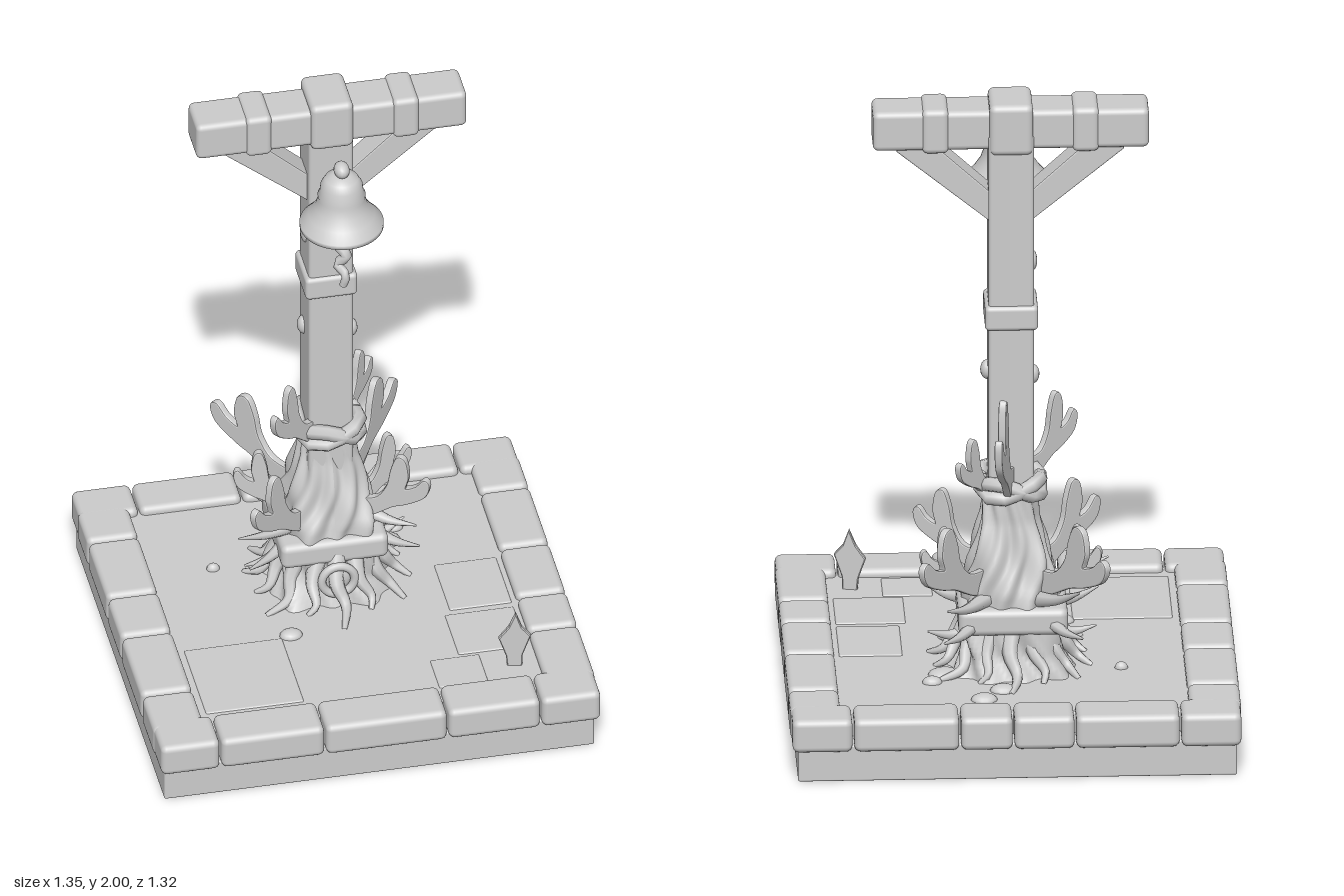
import * as THREE from 'three';
import { RoundedBoxGeometry } from 'three/addons/geometries/RoundedBoxGeometry.js';

const PZ = -0.13; // depth of the post centre

export function createModel() {
  const root = new THREE.Group();
  root.name = 'bellPost';
  const grey = new THREE.MeshStandardMaterial({ color: 0xcccccc });
  grey.name = 'plainGrey';

  const add = (name, geo, parent = root) => {
    const m = new THREE.Mesh(geo, grey);
    m.name = name;
    parent.add(m);
    return m;
  };
  const group = (name) => {
    const g = new THREE.Group();
    g.name = name;
    root.add(g);
    return g;
  };
  // Rounded box given by its limits on each axis
  const block = (name, [x0, x1], [y0, y1], [z0, z1], r, parent) => {
    const m = add(name, new RoundedBoxGeometry(x1 - x0, y1 - y0, z1 - z0, 3, r), parent);
    m.position.set((x0 + x1) / 2, (y0 + y1) / 2, (z0 + z1) / 2);
    return m;
  };
  // Round tube through points, tapering from r0 to r1
  const taperTube = (name, pts, r0, r1, parent) => {
    const n = 14, k = 7;
    const curve = new THREE.CatmullRomCurve3(pts.map((p) => new THREE.Vector3(...p)));
    const geo = new THREE.TubeGeometry(curve, n, 1, k, false);
    const p = geo.attributes.position, nor = geo.attributes.normal;
    for (let i = 0; i < p.count; i++) {
      const t = Math.floor(i / (k + 1)) / n;
      const s = r0 + (r1 - r0) * t - 1;
      p.setXYZ(i, p.getX(i) + s * nor.getX(i), p.getY(i) + s * nor.getY(i), p.getZ(i) + s * nor.getZ(i));
    }
    return add(name, geo, parent);
  };
  const lump = (name, x, y, z, sx, sy, sz, parent) => {
    const m = add(name, new THREE.SphereGeometry(1, 14, 10), parent);
    m.position.set(x, y, z);
    m.scale.set(sx, sy, sz);
    return m;
  };

  // Base: slab, paved floor and kerb stones
  const base = group('base');
  block('slab', [-0.66, 0.655], [0, 0.115], [-0.635, 0.635], 0.006, base);
  block('floor', [-0.56, 0.56], [0.08, 0.18], [-0.56, 0.56], 0.005, base);
  const run = (cuts, make) => cuts.slice(1).forEach((c, i) => make(cuts[i] + 0.003, c - 0.003, i));
  const Y = [0.1, 0.205];
  run([-0.675, -0.49, -0.175, 0.01, 0.17, 0.49, 0.675], (a, b) => block('kerbBack', [a, b], Y, [-0.66, -0.52], 0.02, base));
  run([-0.675, -0.49, -0.17, 0.205, 0.49, 0.675], (a, b) => block('kerbFront', [a, b], Y, [0.51, 0.655], 0.02, base));
  run([-0.56, -0.4, -0.12, 0.08, 0.375, 0.56], (a, b) => block('kerbSide', [-0.675, -0.52], Y, [a, b], 0.02, base));
  run([-0.56, -0.4, -0.115, 0.13, 0.3, 0.56], (a, b) => block('kerbSide', [0.525, 0.675], Y, [a, b], 0.02, base));
  [[0.3, 0.51, 0.15, 0.35], [0.21, 0.36, 0.36, 0.5], [-0.5, -0.2, 0.16, 0.48], [0.32, 0.51, -0.1, 0.13]].forEach(([a, b, c, d]) =>
    block('pavingStone', [a, b], [0.165, 0.184], [c, d], 0.006, base));
  [[0.09, -0.45, 0.04], [0.2, -0.25, 0.05], [0.24, -0.31, 0.03], [-0.17, 0.15, 0.035], [-0.33, -0.22, 0.02], [0.03, -0.38, 0.04]].forEach(([x, z, r]) =>
    lump('pebble', x, 0.18, z, r, 0.02, r * 0.8, base));

  // Post, beam and their collars
  const frame = group('frame');
  block('post', [-0.07, 0.066], [0.2, 1.9], [-0.2, -0.058], 0.012, frame);
  block('postCollar', [-0.082, 0.077], [1.272, 1.35], [-0.212, -0.047], 0.014, frame);
  block('beam', [-0.415, 0.412], [1.85, 1.975], [-0.187, -0.05], 0.018, frame);
  block('beamCap', [-0.067, 0.063], [1.838, 2], [-0.21, -0.036], 0.02, frame);
  for (const s of [-1, 1]) {
    block('beamBand', [s * 0.225 - 0.04, s * 0.225 + 0.04], [1.842, 1.983], [-0.195, -0.042], 0.018, frame);
    // Diagonal brace with ends cut to meet post and beam
    const shape = new THREE.Shape([[0.04, 1.6], [0.335, 1.845], [0.325, 1.875], [0.235, 1.865], [0.04, 1.685]].map(([x, y]) => new THREE.Vector2(s * x, y)));
    const geo = new THREE.ExtrudeGeometry(shape, { depth: 0.074, bevelSize: 0.005, bevelThickness: 0.005, bevelSegments: 2 });
    add('brace', geo, frame).position.z = -0.167;
    lump('postKnot', s * 0.068, 1.11, PZ + 0.02 * s, 0.02, 0.03, 0.025, frame);
  }
  lump('postKnot', -0.07, 1.47, PZ, 0.012, 0.03, 0.03, frame);

  // Bell with crown knob and clapper rope
  const bell = group('bell');
  bell.position.set(0, 0, 0.078);
  const profile = [[0, 1.66], [0.085, 1.66], [0.115, 1.638], [0.126, 1.642], [0.126, 1.656], [0.1, 1.685], [0.08, 1.715], [0.07, 1.745],
    [0.072, 1.757], [0.066, 1.77], [0.063, 1.795], [0.05, 1.818], [0.028, 1.83], [0, 1.834]];
  add('bellBody', new THREE.LatheGeometry(profile.map(([x, y]) => new THREE.Vector2(x, y)), 40), bell);
  lump('bellKnob', 0, 1.848, 0, 0.024, 0.025, 0.032, bell);
  lump('clapper', 0, 1.625, 0, 0.045, 0.035, 0.04, bell);
  lump('ropeKnot', 0.005, 1.575, -0.005, 0.034, 0.025, 0.03, bell);
  taperTube('rope', [[0.01, 1.6, 0], [-0.01, 1.56, -0.02], [0.015, 1.525, 0.0], [-0.01, 1.49, -0.01], [0.008, 1.47, 0.025], [0, 1.43, 0.02]], 0.022, 0.012, bell);

  // Gnarled trunk: a squarish column with furrows, wider towards the floor
  const trunk = group('trunk');
  const H0 = 0.17, H1 = 0.74;
  const trunkGeo = new THREE.CylinderGeometry(1, 1, H1 - H0, 96, 40, false);
  const widths = [[0.17, 0.185], [0.24, 0.15], [0.34, 0.14], [0.44, 0.135], [0.55, 0.108], [0.65, 0.082], [0.74, 0.075]];
  const widthAt = (y) => {
    const i = Math.max(1, widths.findIndex(([h]) => h >= y - 1e-4));
    const [a, wa] = widths[i - 1], [b, wb] = widths[i];
    return wa + (wb - wa) * (y - a) / (b - a);
  };
  const p = trunkGeo.attributes.position;
  for (let i = 0; i < p.count; i++) {
    const y = p.getY(i) + (H0 + H1) / 2, x = p.getX(i), z = p.getZ(i);
    const len = Math.hypot(x, z), t = Math.atan2(z, x);
    if (len < 0.01) { p.setXYZ(i, 0, y, 0); continue; }
    const square = Math.pow(Math.pow(Math.abs(x / len), 4) + Math.pow(Math.abs(z / len), 4), -0.25);
    const furrow = 1 + 0.07 * Math.sin(t * 11 + 3 * Math.sin(y * 13)) + 0.04 * Math.sin(t * 5 - y * 22);
    const r = widthAt(y) * square * furrow;
    p.setXYZ(i, r * x / len, y, r * z / len);
  }
  trunkGeo.computeVertexNormals();
  add('trunkBody', trunkGeo, trunk).position.z = PZ - 0.01;
  block('trunkBand', [-0.168, 0.16], [0.318, 0.402], [-0.3, 0.015], 0.022, trunk);
  const ring = add('frontKnot', new THREE.TorusGeometry(0.05, 0.013, 10, 28), trunk);
  ring.position.set(0, 0.272, 0.03);
  lump('knotCore', 0, 0.272, 0.015, 0.045, 0.045, 0.02, trunk);

  // Twisted vine collar above the trunk
  for (const s of [-1, 1]) {
    const pts = [];
    for (let i = 0; i <= 12; i++) {
      const a = (i / 12) * Math.PI * 2, c = Math.cos(a), d = Math.sin(a);
      const k = 0.098 / Math.pow(c ** 4 + d ** 4, 0.25);
      pts.push([k * c * 0.9, 0.755 + s * 0.025 * Math.sin(a * 2 + 0.6), PZ + k * d * 0.92]);
    }
    taperTube('vineCollar', pts, 0.025, 0.022, trunk);
  }

  // Roots spreading over the floor
  for (let i = 0; i < 14; i++) {
    const a = (i / 14) * Math.PI * 2 + 0.2, r = 0.25 + 0.035 * Math.sin(i * 2.7);
    const at = (q, y, w = 0) => [q * Math.cos(a + w), y, PZ + q * Math.sin(a + w)];
    taperTube('root', [at(0.12, 0.34), at(0.165, 0.26, 0.06), at(0.2, 0.205, -0.05), at(r, 0.178, 0.05)], 0.032, 0.008, trunk);
  }

  // Flat forked branches: silhouette in (outward, up), swung around the post
  const antler = new THREE.Shape();
  antler.moveTo(0, -0.12);
  antler.splineThru([[0.22, -0.04], [0.5, 0.16], [0.72, 0.26], [0.95, 0.42], [1.02, 0.62], [0.96, 0.7], [0.84, 0.56],
    [0.68, 0.5], [0.72, 0.72], [0.68, 0.98], [0.58, 1.02], [0.5, 0.8], [0.44, 0.5], [0.28, 0.26], [0, 0.2]].map(([x, y]) => new THREE.Vector2(x, y)));
  antler.closePath();
  const branches = [ // start x, y, z, heading x, z, length, height
    [-0.05, 0.76, -0.08, -0.15, 0.12, 0.19, 0.22],
    [0.0, 0.76, -0.19, 0.04, -0.17, 0.19, 0.31],
    [0.05, 0.74, -0.15, 0.11, -0.12, 0.16, 0.18],
    [-0.08, 0.46, -0.22, -0.19, -0.24, 0.31, 0.23],
    [0.08, 0.46, -0.22, 0.19, -0.24, 0.31, 0.23],
    [-0.08, 0.45, -0.06, -0.19, 0.15, 0.24, 0.23],
    [0.08, 0.46, -0.07, 0.18, 0.1, 0.22, 0.21],
    [-0.09, 0.42, -0.16, -0.2, -0.04, 0.18, 0.2],
    [0.09, 0.42, -0.16, 0.2, -0.05, 0.18, 0.2],
  ];
  const foliage = group('branches');
  for (const [x, y, z, hx, hz, len, tall] of branches) {
    const geo = new THREE.ExtrudeGeometry(antler, { depth: 0.014, bevelSize: 0.02, bevelThickness: 0.005, bevelSegments: 2, curveSegments: 40 });
    geo.translate(0, 0, -0.007);
    geo.scale(len, tall, 1);
    const m = add('branch', geo, foliage);
    m.position.set(x, y, z);
    m.rotation.y = Math.atan2(-hz, hx);
  }

  // Thorns around the trunk: start, tip
  [[-0.1, 0.42, -0.08, -0.3, 0.45, 0.0], [-0.12, 0.35, -0.1, -0.27, 0.345, 0.02], [0.12, 0.36, -0.08, 0.25, 0.36, 0.03],
    [0.1, 0.43, -0.1, 0.25, 0.4, -0.02], [0.1, 0.35, -0.25, 0.21, 0.345, -0.41], [-0.1, 0.36, -0.25, -0.21, 0.35, -0.4],
    [0.08, 0.42, -0.25, 0.2, 0.45, -0.41], [-0.12, 0.28, -0.15, -0.26, 0.27, -0.1], [0.12, 0.28, -0.15, 0.25, 0.3, -0.2],
    [-0.08, 0.42, -0.25, -0.2, 0.5, -0.4]].forEach(([a, b, c, d, e, f]) =>
    taperTube('thorn', [[a, b, c], [(a + d) / 2, (b + e) / 2 - 0.012, (c + f) / 2], [d, e, f]], 0.026, 0.003, foliage));

  // Single leaf standing near the front corner
  const leaf = new THREE.Shape([[-0.018, 0.17], [0.02, 0.17], [0.022, 0.22], [0.046, 0.29], [0.02, 0.32], [0.004, 0.368],
    [-0.015, 0.32], [-0.044, 0.28], [-0.03, 0.24], [-0.022, 0.215]].map(([x, y]) => new THREE.Vector2(x, y)));
  const leafMesh = add('cornerLeaf', new THREE.ExtrudeGeometry(leaf, { depth: 0.01, bevelSize: 0.003, bevelThickness: 0.003, bevelSegments: 1 }));
  leafMesh.position.set(0.455, 0, 0.423);
  leafMesh.rotation.y = -0.2;

  return root;
}
